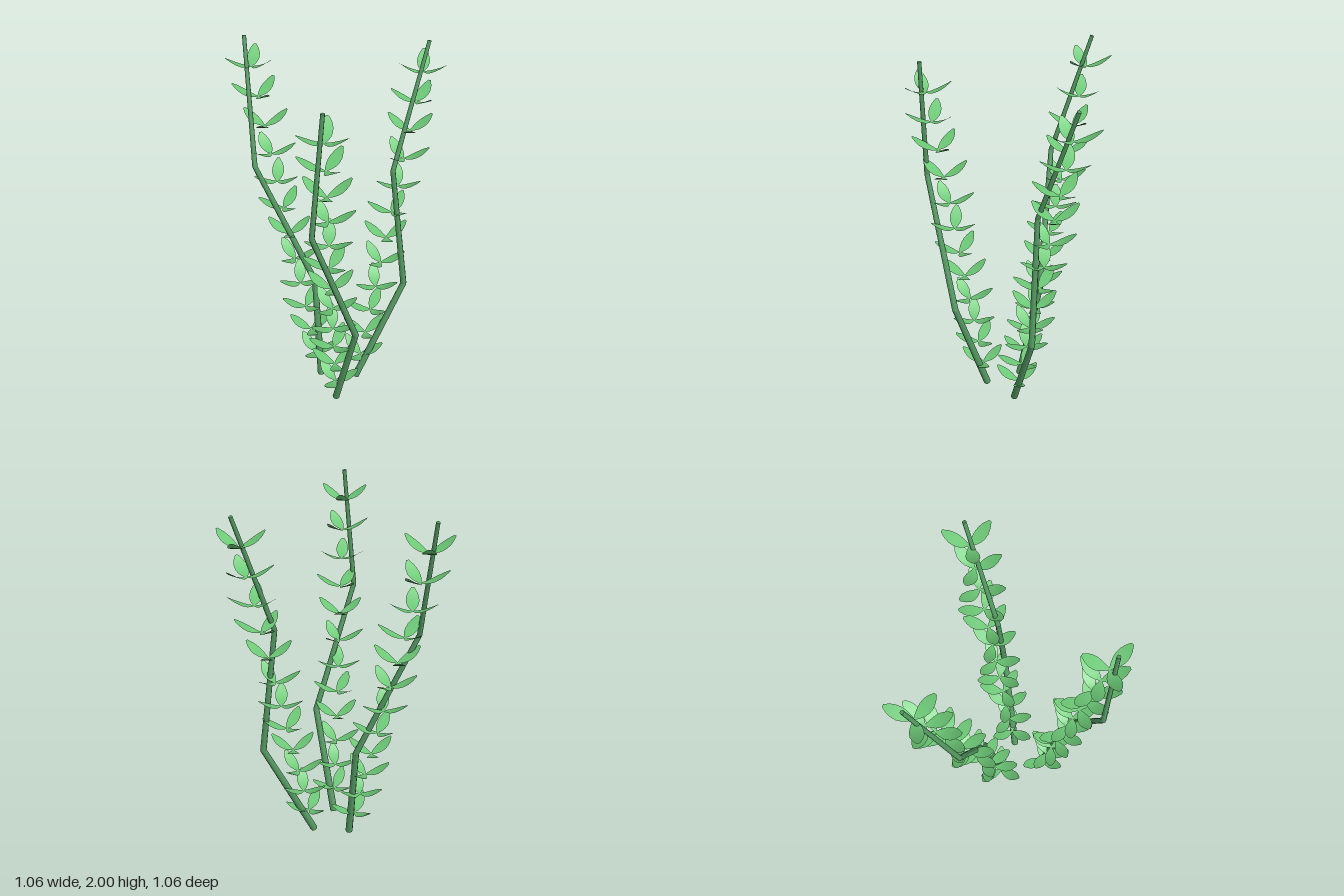
import * as THREE from 'three';

const stemMat = new THREE.MeshStandardMaterial({ color: 0x559a63 });
const leafMat = new THREE.MeshStandardMaterial({ color: 0x6cc876, side: THREE.DoubleSide });

// Stem paths, base to tip
const STEMS = [
  [[-0.13, 0.01, -0.035], [-0.14, 0.63, -0.15], [-0.43, 1.36, -0.235], [-0.43, 2, -0.43]],
  [[-0.07, 0.01, 0.165], [0.01, 0.63, 0.335], [-0.22, 1.36, 0.445], [-0.16, 2, 0.445]],
  [[0.07, 0.01, 0.015], [0.35, 0.63, -0.05], [0.27, 1.36, -0.08], [0.46, 2, -0.225]],
];
const NODES = 12;          // leaf whorls per stem
const LEAVES = 3;          // leaves per whorl
const TURN = 0.5;          // twist from one whorl to the next, radians
const LEAF_LENGTH = 0.13, LEAF_RISE = 0.066;

// Thin leaf along +x: narrow base, widest past the middle, blunt tip, curling upward
function makeLeafGeometry() {
  const halfWidths = [0.004, 0.017, 0.027, 0.032, 0.031, 0.023, 0.007];
  const rows = halfWidths.length - 1;
  const geo = new THREE.PlaneGeometry(1, 2, rows, 1).rotateX(-Math.PI / 2).translate(0.5, 0, 0);
  const p = geo.attributes.position;
  for (let i = 0; i < p.count; i++) {
    const t = p.getX(i);
    const w = halfWidths[Math.round(t * rows)];
    p.setXYZ(i, t * LEAF_LENGTH, LEAF_RISE * Math.pow(t, 1.7), p.getZ(i) * w);
  }
  geo.computeVertexNormals();
  return geo;
}

// Tapered rod between two points
function makeRod(a, b, r0, r1) {
  const dir = b.clone().sub(a);
  const rod = new THREE.Mesh(new THREE.CylinderGeometry(r1, r0, dir.length(), 8), stemMat);
  rod.position.copy(a).lerp(b, 0.5);
  rod.quaternion.setFromUnitVectors(new THREE.Vector3(0, 1, 0), dir.normalize());
  rod.name = 'stemSegment';
  return rod;
}

export function createModel() {
  const plant = new THREE.Group();
  plant.name = 'leafyPlant';
  const leafGeo = makeLeafGeometry();
  const radius = (t) => THREE.MathUtils.lerp(0.021, 0.01, t);

  STEMS.forEach((path) => {
    const branch = new THREE.Group();
    branch.name = 'branch';
    const pts = path.map((q) => new THREE.Vector3(...q));

    // Kinked stem with rounded joints
    for (let i = 0; i < 3; i++) {
      branch.add(makeRod(pts[i], pts[i + 1], radius(i / 3), radius((i + 1) / 3)));
      if (i > 0) {
        const joint = new THREE.Mesh(new THREE.SphereGeometry(radius(i / 3), 8, 6), stemMat);
        joint.position.copy(pts[i]);
        joint.name = 'stemJoint';
        branch.add(joint);
      }
    }

    // Whorls spaced along the straight line from base to tip, turning as they climb
    for (let n = 0; n < NODES; n++) {
      const whorl = new THREE.Group();
      whorl.name = 'leafWhorl';
      whorl.position.copy(pts[0]).lerp(pts[3], (n + 1) / (NODES + 1));
      whorl.rotation.y = n * TURN;
      for (let k = 0; k < LEAVES; k++) {
        const leaf = new THREE.Mesh(leafGeo, leafMat);
        leaf.rotation.y = (k * 2 * Math.PI) / LEAVES;
        leaf.name = 'leaf';
        whorl.add(leaf);
      }
      branch.add(whorl);
    }
    plant.add(branch);
  });
  return plant;
}
